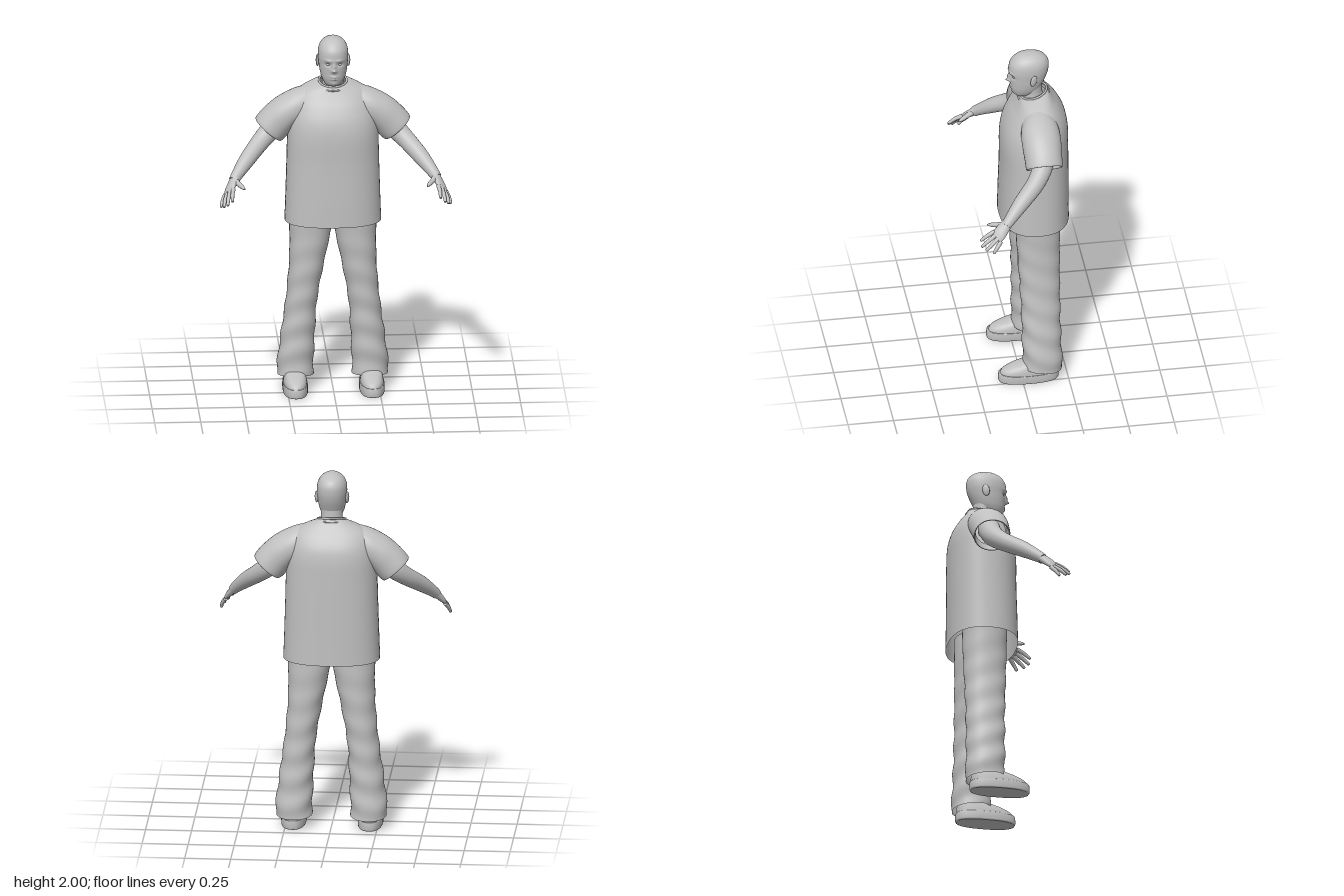
import * as THREE from 'three';

const V = (x, y, z) => new THREE.Vector3(x, y, z);

// A ring is an ellipse-like section: centre c, half axes u and v.
const ring = (c, u, v) => ({ c, u, v });
// Horizontal ring: height, half width, front z, back z, centre x, tilt (front lower)
const level = (y, rx, zf, zb, cx = 0, tilt = 0) =>
  ring(V(cx, y, (zf + zb) / 2), V(rx, 0, 0), V(0, tilt, -(zf - zb) / 2));

// Skin a smooth surface over rings; n is the squareness (2 = ellipse)
function loft(rings, { seg = 32, sub = 5, n = 2, capA = false, capB = false, warp = null } = {}) {
  const curve = k => new THREE.CatmullRomCurve3(rings.map(r => r[k]), false, 'catmullrom');
  const [cc, cu, cv] = ['c', 'u', 'v'].map(curve);
  const rows = (rings.length - 1) * sub, pos = [], idx = [];
  const pw = t => Math.sign(t) * Math.pow(Math.abs(t), 2 / n);
  for (let i = 0; i <= rows; i++) {
    const t = i / rows, c = cc.getPoint(t), u = cu.getPoint(t), v = cv.getPoint(t);
    for (let j = 0; j < seg; j++) {
      const a = (j / seg) * Math.PI * 2;
      const p = c.clone().addScaledVector(u, pw(Math.cos(a))).addScaledVector(v, pw(Math.sin(a)));
      if (warp) warp(p, c, a);
      pos.push(p.x, p.y, p.z);
    }
  }
  for (let i = 0; i < rows; i++) for (let j = 0; j < seg; j++) {
    const k = (j + 1) % seg, a = i * seg + j, b = i * seg + k;
    idx.push(a, b, a + seg, b, b + seg, a + seg);
  }
  const cap = (row, flip) => {
    const base = pos.length / 3, c = cc.getPoint(row / rows);
    for (let j = 0; j < seg * 3; j++) pos.push(pos[row * seg * 3 + j]);
    pos.push(c.x, c.y, c.z);
    for (let j = 0; j < seg; j++) {
      const a = base + j, b = base + (j + 1) % seg;
      idx.push(...(flip ? [b, a, base + seg] : [a, b, base + seg]));
    }
  };
  if (capA) cap(0, true);
  if (capB) cap(rows, false);
  const g = new THREE.BufferGeometry();
  g.setAttribute('position', new THREE.Float32BufferAttribute(pos, 3));
  g.setIndex(idx);
  g.computeVertexNormals();
  return g;
}

// Round limb through points with a radius at each
function limb(points, radii, seg = 16) {
  const rings = points.map((p, i) => {
    const d = points[Math.min(i + 1, points.length - 1)].clone().sub(points[Math.max(i - 1, 0)]).normalize();
    const u = V(0, 1, 0).addScaledVector(d, -d.y).normalize(), v = d.clone().cross(u);
    return ring(p, u.multiplyScalar(radii[i]), v.multiplyScalar(radii[i]));
  });
  return loft(rings, { seg, sub: 4, capA: true, capB: true });
}

// Mirror a geometry across x, keeping faces outward
function mirrored(g) {
  const m = g.clone().scale(-1, 1, 1), a = m.index.array;
  for (let i = 0; i < a.length; i += 3) [a[i], a[i + 1]] = [a[i + 1], a[i]];
  m.computeVertexNormals();
  return m;
}

export function createModel() {
  const model = new THREE.Group();
  model.name = 'standingMan';
  const grey = new THREE.MeshStandardMaterial({ color: 0xc0c0c0, side: THREE.DoubleSide });
  grey.name = 'plainGrey';
  const add = (name, g) => {
    const m = new THREE.Mesh(g, grey);
    m.name = name;
    model.add(m);
  };
  const pair = (name, g) => { add(name + 'Left', g); add(name + 'Right', mirrored(g)); };

  // Head: skull rings, with the face pushed in and out by soft bumps [x, y, sx, sy, dz]
  const bumps = [
    [0.033, 1.868, 0.015, 0.010, -0.012], [-0.033, 1.868, 0.015, 0.010, -0.012],
    [0.030, 1.890, 0.020, 0.007, 0.006], [-0.030, 1.890, 0.020, 0.007, 0.006],
    [0, 1.855, 0.008, 0.018, 0.014], [0, 1.832, 0.012, 0.010, 0.022],
    [0, 1.797, 0.018, 0.005, 0.008], [0, 1.785, 0.016, 0.005, 0.007],
    [0, 1.791, 0.020, 0.002, -0.006], [0, 1.756, 0.018, 0.010, 0.006],
  ];
  const face = p => {
    if (p.z < -0.04) return;
    for (const [x, y, sx, sy, dz] of bumps)
      p.z += dz * Math.exp(-(((p.x - x) / sx) ** 2) - ((p.y - y) / sy) ** 2);
  };
  add('head', loft([
    level(1.735, 0.025, -0.005, -0.07), level(1.745, 0.045, 0.012, -0.09),
    level(1.78, 0.064, 0.027, -0.128), level(1.82, 0.074, 0.032, -0.150),
    level(1.86, 0.079, 0.036, -0.167), level(1.90, 0.082, 0.040, -0.177),
    level(1.94, 0.078, 0.034, -0.177), level(1.972, 0.062, 0.010, -0.158),
    level(1.993, 0.033, -0.025, -0.118), level(2.0, 0.003, -0.066, -0.074),
  ], { seg: 72, sub: 8, n: 2.15, capA: true, capB: true, warp: face }));
  pair('eye', new THREE.SphereGeometry(0.012, 16, 12).scale(1, 0.6, 0.7).translate(0.031, 1.867, 0.017));
  pair('ear', new THREE.SphereGeometry(1, 16, 12).scale(0.009, 0.034, 0.02).rotateY(0.35).rotateX(-0.15)
    .translate(0.083, 1.862, -0.085));
  add('neck', loft([
    level(1.66, 0.085, -0.015, -0.17), level(1.71, 0.066, -0.028, -0.155),
    level(1.75, 0.058, -0.03, -0.143), level(1.81, 0.06, -0.03, -0.14),
  ]));

  // Shirt: boxy body, open at the hem, rising to a tilted neckline
  add('shirtBody', loft([
    level(0.96, 0.262, 0.096, -0.282), level(1.1, 0.257, 0.093, -0.281),
    level(1.3, 0.251, 0.087, -0.280), level(1.45, 0.247, 0.086, -0.279),
    level(1.54, 0.240, 0.072, -0.277), level(1.61, 0.226, 0.043, -0.264),
    level(1.665, 0.208, 0.012, -0.232, 0, 0.005), level(1.705, 0.165, -0.008, -0.198, 0, 0.010),
    level(1.732, 0.105, -0.018, -0.177, 0, 0.016), level(1.742, 0.076, -0.025, -0.165, 0, 0.018),
  ], { seg: 64, n: 2.4 }));
  const collar = (y, rx, rz, r) => new THREE.TubeGeometry(new THREE.CatmullRomCurve3(
    Array.from({ length: 16 }, (_, i) => {
      const a = i * Math.PI / 8;
      return V(rx * Math.cos(a), y - 0.02 * Math.sin(a), -0.096 + rz * Math.sin(a));
    }), true), 48, r, 8, true);
  add('collarTop', collar(1.744, 0.075, 0.071, 0.006));
  add('collarSeam', collar(1.727, 0.092, 0.083, 0.005));

  // Sleeves: sections given by upper and lower points, with a tucked cuff
  const cross = (tx, ty, bx, by, rz, cz = -0.102) =>
    ring(V((tx + bx) / 2, (ty + by) / 2, cz), V((tx - bx) / 2, (ty - by) / 2, 0), V(0, 0, rz));
  pair('sleeve', loft([
    cross(0.10, 1.722, 0.12, 1.47, 0.088), cross(0.20, 1.698, 0.20, 1.49, 0.105),
    cross(0.30, 1.648, 0.232, 1.46, 0.106), cross(0.372, 1.588, 0.252, 1.432, 0.102),
    cross(0.416, 1.535, 0.276, 1.41, 0.100), cross(0.409, 1.528, 0.283, 1.414, 0.092),
    cross(0.375, 1.562, 0.268, 1.45, 0.085),
  ], { n: 2.1 }));

  // Arms
  pair('arm', limb(
    [V(0.27, 1.54, -0.105), V(0.34, 1.465, -0.09), V(0.405, 1.405, -0.04), V(0.475, 1.34, 0.045),
      V(0.535, 1.275, 0.12), V(0.55, 1.255, 0.14)],
    [0.062, 0.056, 0.049, 0.043, 0.031, 0.028], 24));

  // Hands: flat palm, four fingers and a thumb
  const across = V(0.047, -0.04, -0.038).normalize();
  const ahead = V(0.35, -0.6, 0.72).normalize();
  const thick = ahead.clone().cross(across).normalize();
  const palm = (x, y, z, w, t) =>
    ring(V(x, y, z), across.clone().multiplyScalar(w), thick.clone().multiplyScalar(t));
  pair('palm', loft([
    palm(0.538, 1.272, 0.122, 0.028, 0.024), palm(0.555, 1.248, 0.150, 0.034, 0.021),
    palm(0.572, 1.222, 0.178, 0.038, 0.017), palm(0.582, 1.204, 0.198, 0.034, 0.011),
  ], { seg: 20, capA: true, capB: true }));
  const fingers = [
    [V(0.556, 1.228, 0.205), V(0.563, 1.208, 0.245), V(0.565, 1.183, 0.279)],
    [V(0.574, 1.212, 0.204), V(0.585, 1.186, 0.244), V(0.59, 1.160, 0.277)],
    [V(0.588, 1.198, 0.192), V(0.603, 1.170, 0.229), V(0.609, 1.145, 0.256)],
    [V(0.598, 1.188, 0.175), V(0.615, 1.158, 0.200), V(0.622, 1.132, 0.217)],
  ];
  fingers.forEach((f, i) => pair('finger' + (i + 1),
    limb([...f, f[2].clone().lerp(f[1], -0.12)], [0.012, 0.0105, 0.008, 0.003], 12)));
  pair('thumb', limb([V(0.545, 1.258, 0.145), V(0.525, 1.248, 0.185), V(0.507, 1.24, 0.215), V(0.496, 1.234, 0.236)],
    [0.019, 0.014, 0.011, 0.004], 12));

  // Trousers: wide legs with soft folds that grow toward the cuffs
  const folds = (p, c, a) => {
    const s = 0.025 * THREE.MathUtils.clamp(1.05 - p.y, 0, 0.7);
    const k = 1 + 2.2 * s * Math.sin(p.y * 42 + 2 * Math.sin(a) + Math.cos(a));
    p.x = c.x + (p.x - c.x) * k;
    p.z = c.z + (p.z - c.z) * k;
  };
  pair('trouserLeg', loft([
    level(0.075, 0.099, -0.008, -0.222, 0.204, -0.012), level(0.15, 0.098, -0.006, -0.218, 0.202),
    level(0.3, 0.092, -0.004, -0.214, 0.19), level(0.5, 0.085, 0.0, -0.213, 0.17),
    level(0.7, 0.094, 0.010, -0.216, 0.144), level(0.85, 0.108, 0.016, -0.219, 0.127),
    level(0.96, 0.119, 0.020, -0.221, 0.118), level(1.05, 0.122, 0.020, -0.221, 0.118),
  ], { seg: 40, sub: 10, n: 2.2, capB: true, warp: folds }));

  // Shoes: flat sole with a rounded upper
  pair('shoeSole', loft([
    level(0, 0.063, 0.122, -0.192, 0.208), level(0.008, 0.068, 0.13, -0.199, 0.208),
    level(0.046, 0.068, 0.128, -0.199, 0.208), level(0.05, 0.064, 0.122, -0.195, 0.208),
  ], { seg: 40, sub: 2, n: 2.5, capA: true, capB: true }));
  pair('shoeUpper', loft([
    level(0.045, 0.064, 0.122, -0.193, 0.208), level(0.07, 0.062, 0.105, -0.193, 0.208),
    level(0.092, 0.058, 0.062, -0.191, 0.208), level(0.108, 0.055, 0.012, -0.188, 0.208),
    level(0.125, 0.052, -0.02, -0.185, 0.208), level(0.16, 0.05, -0.04, -0.18, 0.208),
  ], { seg: 40, n: 2.3, capB: true }));

  return model;
}
